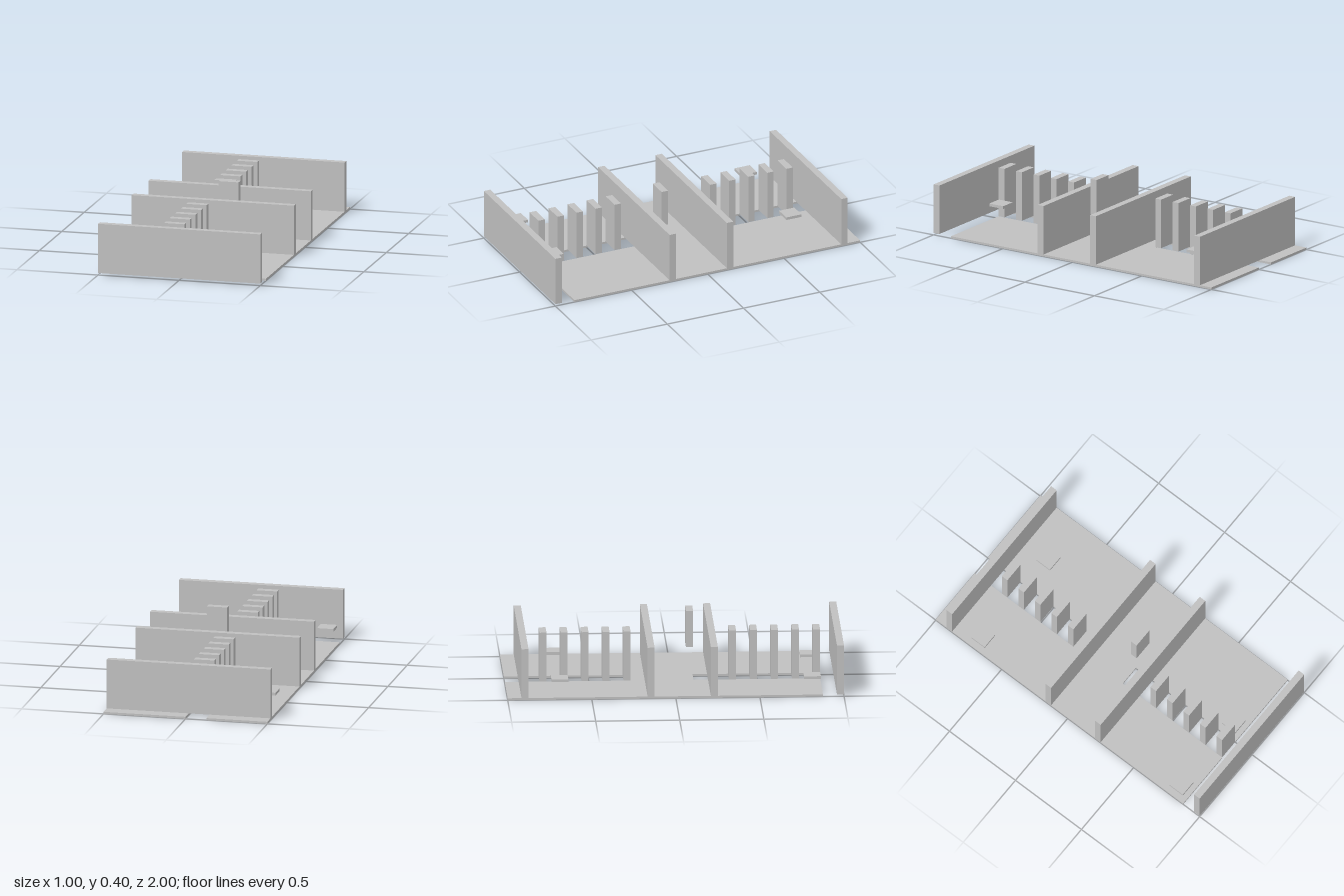
import * as THREE from 'three';

const grey = new THREE.MeshStandardMaterial({ color: 0xc0c0c0 });
grey.name = 'light grey';

const FLOOR = 0.0125, WALL_TOP = 0.313, THICK = 0.042;
const SLOT_L = -0.128, SLOT_R = 0;

// Box given by its minimum and maximum on each axis
function block(name, [x0, x1], [y0, y1], [z0, z1]) {
  const mesh = new THREE.Mesh(new THREE.BoxGeometry(x1 - x0, y1 - y0, z1 - z0), grey);
  mesh.position.set((x0 + x1) / 2, (y0 + y1) / 2, (z0 + z1) / 2);
  mesh.name = name;
  return mesh;
}

export function createModel() {
  const model = new THREE.Group();
  model.name = 'corridorBlock';

  // Floor slab with an open slot at each end (shape y becomes z)
  const outline = [
    [-0.5, -1], [SLOT_L, -1], [SLOT_L, -0.252], [SLOT_R, -0.252], [SLOT_R, -1], [0.5, -1],
    [0.5, 0.875], [SLOT_R, 0.875], [SLOT_R, 0.122], [SLOT_L, 0.122], [SLOT_L, 0.875], [-0.5, 0.875],
  ].map(([x, z]) => new THREE.Vector2(x, z));
  const slab = new THREE.ExtrudeGeometry(new THREE.Shape(outline), { depth: FLOOR, bevelEnabled: false });
  slab.rotateX(Math.PI / 2).translate(0, FLOOR, 0);
  const floor = new THREE.Mesh(slab, grey);
  floor.name = 'floor';
  model.add(floor);

  // Full-width cross walls, by front face
  for (const z of [1, 0.25, -0.126, -0.876]) {
    model.add(block('crossWall', [-0.5, 0.5], [FLOOR, WALL_TOP], [z - THICK, z]));
  }

  // Rows of upright slats over the two slots
  for (const start of [0.875, -0.252]) {
    for (let i = 0; i < 5; i++) {
      const z = start - i * 0.125;
      model.add(block('slat', [SLOT_L, -0.003], [FLOOR, WALL_TOP], [z - THICK, z]));
    }
  }

  // Small floating square pads
  for (const [x, z] of [[-0.438, 0.813], [0.063, 0.813], [-0.438, -0.689], [0.186, -0.689]]) {
    model.add(block('pad', [x - 0.05, x + 0.05], [0.105, 0.122], [z - 0.05, z + 0.05]));
  }

  // Raised panel in the middle bay
  model.add(block('raisedPanel', [0, 0.124], [0.18, 0.402], [0.083, 0.126]));

  return model;
}
